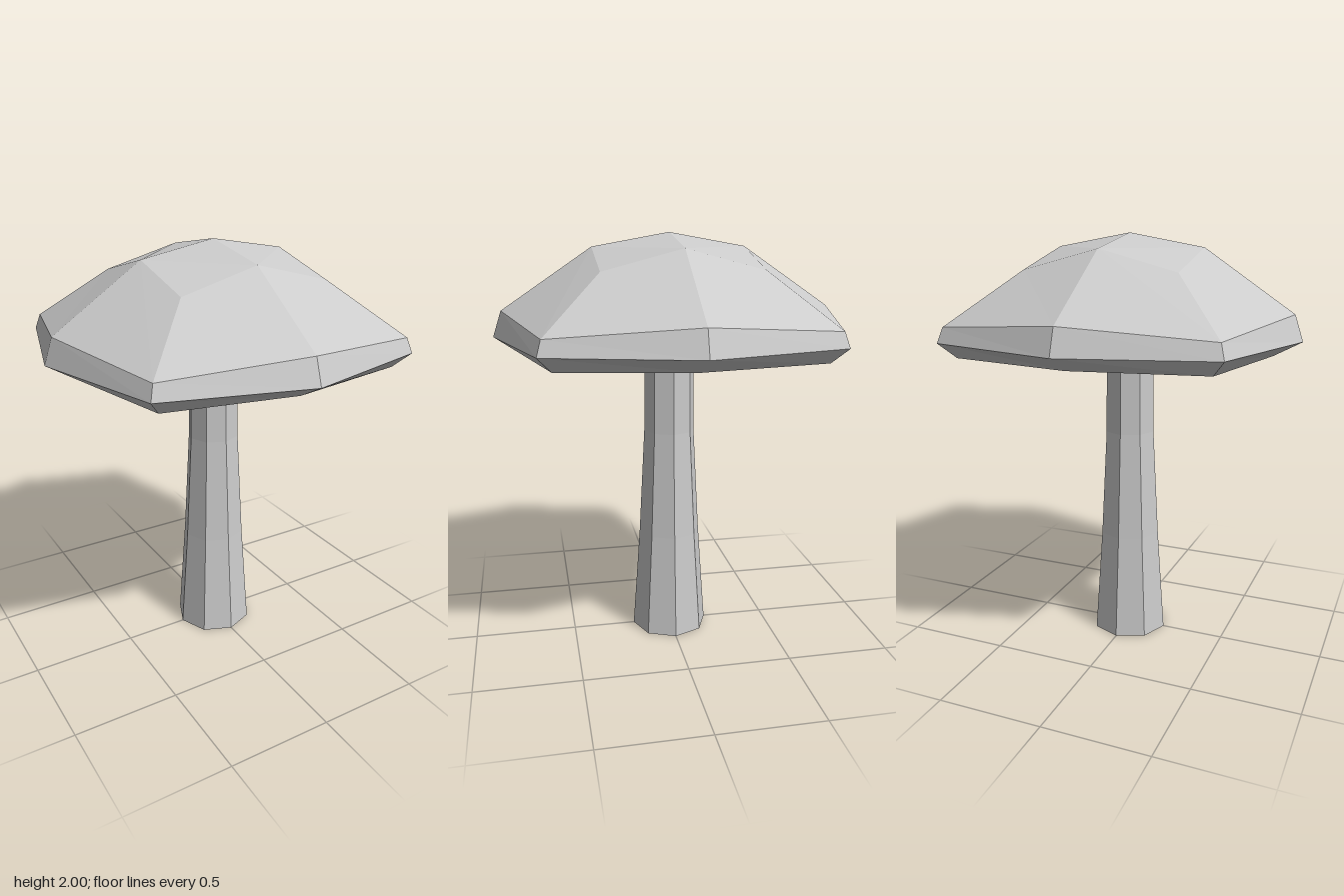
import * as THREE from 'three';

const material = new THREE.MeshStandardMaterial({ color: 0xcccccc, flatShading: true });

// Eight-point ring: even points lie on the axes, odd points on the diagonals.
// side = axis distance, corner = x and z of a diagonal point.
function ring(side, sideY, corner, cornerY) {
  return Array.from({ length: 8 }, (_, k) => {
    const odd = k % 2 === 1;
    const r = odd ? corner * Math.SQRT2 : side;
    const a = (k * Math.PI) / 4;
    return [Math.sin(a) * r, odd ? cornerY : sideY, Math.cos(a) * r];
  });
}

function createCapGeometry() {
  const rings = [
    ring(0.365, 1.935, 0.365, 1.84), // crown
    ring(0.79, 1.65, 0.63, 1.60),    // shoulder
    ring(0.83, 1.53, 0.65, 1.53),    // widest rim
    ring(0.70, 1.46, 0.59, 1.46),    // lower lip
    ring(0.47, 1.60, 0.45, 1.57),    // hollow underside
  ];
  const positions = [];
  const triangle = (a, b, c) => positions.push(...a, ...b, ...c);

  // Bands between neighbouring rings
  for (let i = 0; i < rings.length - 1; i++) {
    const a = rings[i], b = rings[i + 1];
    for (let k = 0; k < 8; k++) {
      const n = (k + 1) % 8;
      triangle(a[k], b[k], b[n]);
      triangle(a[k], b[n], a[n]);
    }
  }

  // Four facets closing the crown and four closing the underside
  const top = rings[0], under = rings[rings.length - 1];
  for (let k = 0; k < 8; k += 2) {
    const n = (k + 2) % 8;
    triangle([0, 2, 0], top[k], top[n]);
    triangle(top[k], top[k + 1], top[n]);
    triangle([0, 1.66, 0], under[n], under[k]);
    triangle(under[k], under[n], under[k + 1]);
  }

  const geometry = new THREE.BufferGeometry();
  geometry.setAttribute('position', new THREE.Float32BufferAttribute(positions, 3));
  geometry.computeVertexNormals();
  return geometry;
}

export function createModel() {
  const group = new THREE.Group();
  group.name = 'mushroom';

  const cap = new THREE.Mesh(createCapGeometry(), material);
  cap.name = 'cap';

  // Tapered eight-sided stem with a closed foot
  const profile = [[0, 0], [0.19, 0], [0.153, 0.52], [0.125, 1.05], [0.119, 1.67]];
  const stem = new THREE.Mesh(
    new THREE.LatheGeometry(profile.map(([r, y]) => new THREE.Vector2(r, y)), 8),
    material
  );
  stem.name = 'stem';

  group.add(cap, stem);
  return group;
}
